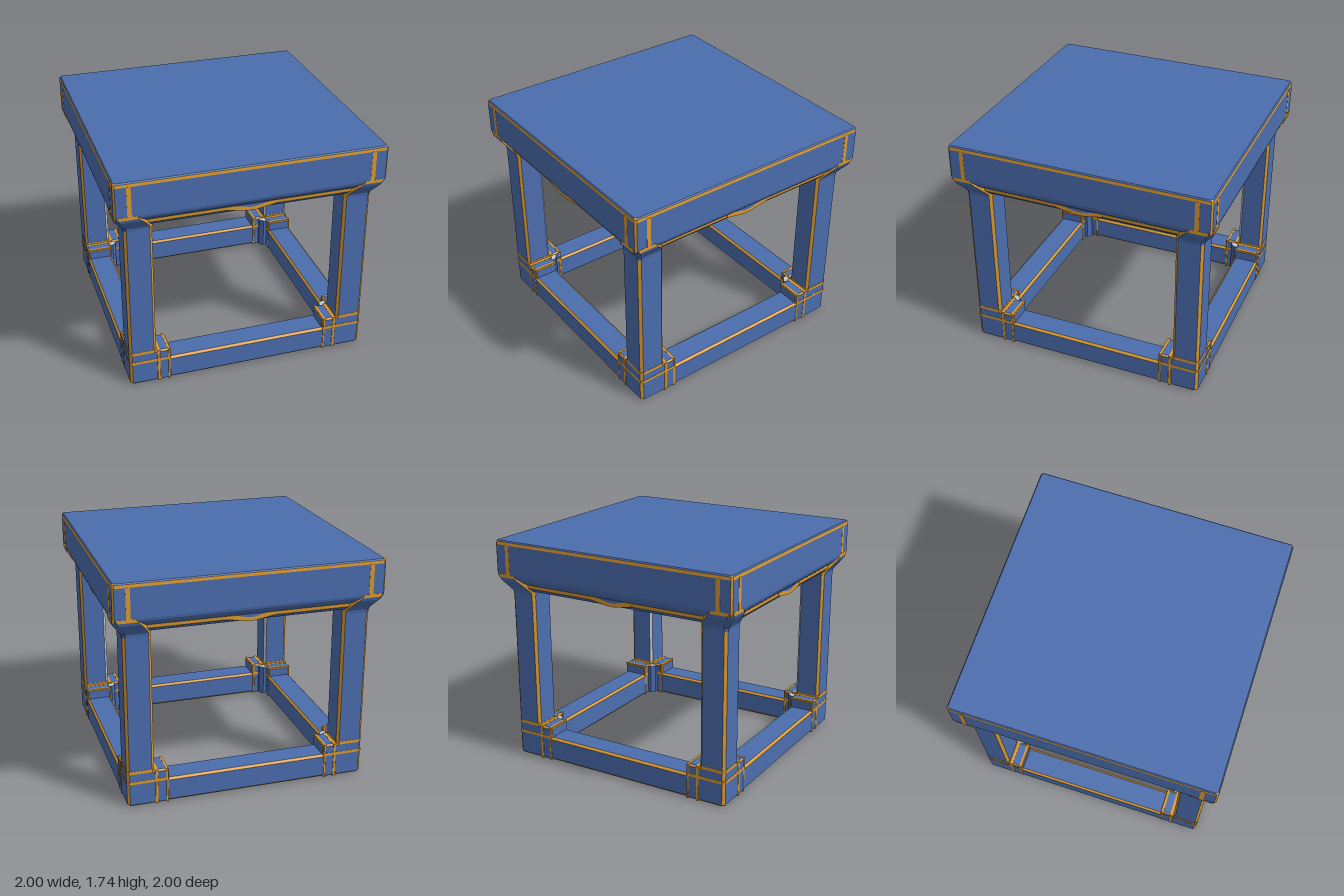
import * as THREE from 'three';

const named = (name, color) => {
  const m = new THREE.MeshStandardMaterial({ color });
  m.name = name;
  return m;
};

// Rectangle in plan with cut corners; odd sides are the corner cuts
// (1: +x-z, 3: -x-z, 5: -x+z, 7: +x+z).
const rect = (x0, x1, z0, z1, c) => [
  [x1, z1 - c], [x1, z0 + c], [x1 - c, z0], [x0 + c, z0],
  [x0, z0 + c], [x0, z1 - c], [x0 + c, z1], [x1 - c, z1],
];

// Joins [y, outline] sections into a closed solid; pick(band, side) gives a material index.
function loft(sections, pick, capMaterial = 0) {
  const buckets = [[], [], []];
  const point = (s, i) => {
    const p = s[1][i % s[1].length];
    return [p[0], s[0], p[1]];
  };
  const tri = (m, a, b, c) => buckets[m].push(...a, ...b, ...c);
  for (let k = 0; k < sections.length - 1; k++) {
    for (let i = 0; i < 8; i++) {
      const a = point(sections[k], i), b = point(sections[k], i + 1);
      const c = point(sections[k + 1], i + 1), d = point(sections[k + 1], i);
      tri(pick(k, i), a, b, c);
      tri(pick(k, i), a, c, d);
    }
  }
  const low = sections[0], high = sections[sections.length - 1];
  for (let i = 1; i < 7; i++) {
    tri(0, point(low, 0), point(low, i + 1), point(low, i));
    tri(capMaterial, point(high, 0), point(high, i), point(high, i + 1));
  }
  const g = new THREE.BufferGeometry();
  g.setAttribute('position', new THREE.Float32BufferAttribute(buckets.flat(), 3));
  let start = 0;
  buckets.forEach((b, m) => {
    if (b.length) g.addGroup(start, b.length / 3, m);
    start += b.length / 3;
  });
  g.computeVertexNormals();
  return g;
}

export function createModel() {
  const blue = named('blue paint', 0x4b6dae);
  const orange = named('orange trim', 0xdb9a30);
  const grey = named('pale grey', 0xc6cacd);
  const paints = [blue, orange, grey];
  const model = new THREE.Group();
  model.name = 'stool';

  const add = (parent, name, geometry, material) => {
    const mesh = new THREE.Mesh(geometry, material);
    mesh.name = name;
    parent.add(mesh);
    return mesh;
  };

  // Seat slab with trimmed upper rim, tapered underside and a trim line below
  const square = (y, h, c = 0.013) => [y, rect(-h, h, -h, h, c)];
  add(model, 'seat', loft([
    square(1.36, 0.92), square(1.386, 0.943), square(1.413, 0.946), square(1.435, 0.975), square(1.462, 0.994),
    square(1.48, 0.9985), square(1.708, 0.9985), square(1.731, 0.996), square(1.74, 0.988),
  ], (band, side) => (band === 1 || band === 6 || (band > 3 && side % 2) ? 1 : 0)), paints);

  // Parts shared by all four sides and corners
  for (let q = 0; q < 4; q++) {
    const quarter = new THREE.Group();
    quarter.name = 'quarter' + (q + 1);
    quarter.rotation.y = q * Math.PI / 2;
    model.add(quarter);

    // Leg: orange corner cuts, pale inner edge
    const legPlan = rect(0.716, 0.92, 0.716, 0.92, 0.019);
    const footPlan = rect(0.728, 0.91, 0.728, 0.91, 0.019);
    add(quarter, 'leg', loft([[0.002, footPlan], [0.014, legPlan], [1.4, legPlan]],
      (band, side) => (band === 0 ? 1 : side === 3 ? 2 : side % 2)), paints);

    // Bracket flaring from the leg to the seat corner, outlined in trim
    add(quarter, 'cornerBracket', loft([
      [1.32, rect(0.714, 0.922, 0.714, 0.922, 0.02)],
      [1.345, rect(0.712, 0.926, 0.712, 0.926, 0.024)],
      [1.375, rect(0.722, 0.948, 0.722, 0.948, 0.03)],
      [1.435, rect(0.765, 0.993, 0.765, 0.993, 0.036)],
      [1.458, rect(0.79, 1, 0.79, 1, 0.034)],
      [1.483, rect(0.82, 1, 0.82, 1, 0.02)],
    ], (band, side) => (band === 4 || side === 1 || side === 5 ? 1 : 0)), paints);

    // Bottom rail along one side
    const rail = loft([-0.64, 0.64].map((y) => [y, rect(0.004, 0.192, 0.72, 0.92, 0.016)]),
      (band, side) => side % 2);
    rail.rotateZ(Math.PI / 2);
    add(quarter, 'rail', rail, paints);

    // Collar arms and their raised bands, one along each rail
    for (const swap of [false, true]) {
      const ranges = (a0, a1, b0, b1) => (swap ? [b0, b1, a0, a1] : [a0, a1, b0, b1]);
      const arm = (y, inset) => [y, rect(...ranges(0.605 + inset, 0.75, 0.72 + inset, 0.92 - inset), 0.012)];
      add(quarter, 'collarArm', loft([arm(0.003, 0.01), arm(0.012, 0), arm(0.26, 0), arm(0.272, 0.012)],
        (band, side) => (band !== 1 || side % 2 ? 1 : 0)), paints);
      const band = (a0, a1, y0, y1, c) => {
        const plan = rect(...ranges(a0, a1, 0.718, 0.922), c);
        add(quarter, 'collarBand', loft([[y0, plan], [y1, plan]], () => 0), orange);
      };
      band(0.611, 0.629, 0, 0.2735, 0.003);
      band(0.688, 0.712, 0, 0.2735, 0.003);
      band(0.606, 0.922, 0.18, 0.202, 0.014);
    }
    const rimPlan = rect(0.714, 0.922, 0.714, 0.922, 0.018);
    add(quarter, 'collarRim', loft([[0.262, rimPlan], [0.286, rimPlan]], () => 0), orange);
    const pad = rect(0.665, 0.75, 0.665, 0.75, 0.03);
    add(quarter, 'innerPad', loft([[0.01, pad], [0.262, pad]], () => 0, 2), paints);

    // Upright trim on the seat side
    for (const x of [-0.89, 0.89]) {
      const strip = add(quarter, 'seatBand', new THREE.BoxGeometry(0.032, 0.24, 0.008), orange);
      strip.position.set(x, 1.59, 0.996);
    }

    // Shallow dip in the trim under the middle of the seat side
    const plate = (name, points, front) => {
      const shape = new THREE.Shape(points.map((p) => new THREE.Vector2(...p)));
      const geometry = new THREE.ExtrudeGeometry(shape, { depth: 0.04, bevelEnabled: false });
      geometry.translate(0, 0, front - 0.04);
      return [name, geometry];
    };
    add(quarter, ...plate('dipTrim',
      [[-0.18, 1.388], [-0.03, 1.362], [0.03, 1.362], [0.18, 1.388], [0.18, 1.412], [-0.18, 1.412]], 0.949), orange);
    add(quarter, ...plate('dipPanel', [[-0.13, 1.415], [-0.02, 1.391], [0.02, 1.391], [0.13, 1.415]], 0.952), blue);
  }

  // Outline inlays beneath the seat: a centre ring and one motif towards each corner
  const inlays = new THREE.Group();
  inlays.name = 'undersideInlays';
  inlays.position.y = 1.357;
  inlays.rotation.x = Math.PI / 2;
  model.add(inlays);
  add(inlays, 'centreRing', new THREE.RingGeometry(0.2, 0.24, 40), grey);
  const outline = (r0, r1, w, c) => {
    const loop = (d) => rect(r0 + d, r1 - d, -w + d, w - d, c).map((p) => new THREE.Vector2(...p));
    const shape = new THREE.Shape(loop(0));
    shape.holes.push(new THREE.Path(loop(0.034)));
    return new THREE.ShapeGeometry(shape);
  };
  for (let i = 0; i < 4; i++) {
    const motif = new THREE.Group();
    motif.name = 'cornerMotif';
    motif.rotation.z = Math.PI / 4 + i * Math.PI / 2;
    inlays.add(motif);
    add(motif, 'innerFrame', outline(0.32, 0.74, 0.24, 0.03), grey);
    add(motif, 'outerFrame', outline(0.52, 0.96, 0.33, 0.09), grey);
  }
  return model;
}
